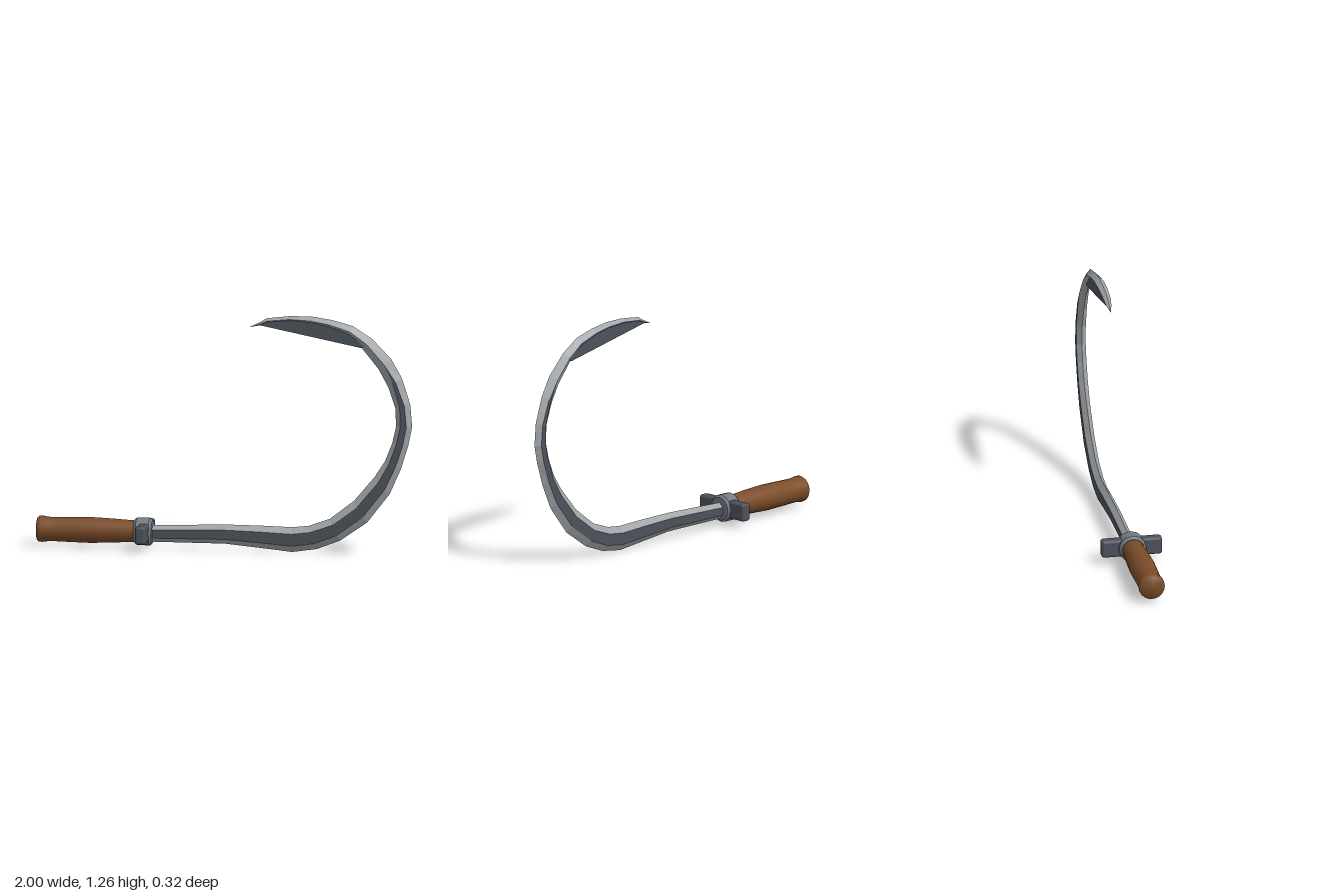
import * as THREE from 'three';
import { toCreasedNormals } from 'three/addons/utils/BufferGeometryUtils.js';
import { RoundedBoxGeometry } from 'three/addons/geometries/RoundedBoxGeometry.js';

const AXIS_Y = 0.097;

function material(name, color) {
  const m = new THREE.MeshStandardMaterial({ color });
  m.name = name;
  return m;
}

// Turned part lying along x; profile is a list of [x, radius]
function turned(name, profile, mat, sides, crease) {
  const points = profile.map(([x, r]) => new THREE.Vector2(r, x));
  const geo = toCreasedNormals(new THREE.LatheGeometry(points, sides), crease);
  geo.rotateZ(-Math.PI / 2);
  const mesh = new THREE.Mesh(geo, mat);
  mesh.name = name;
  mesh.position.y = AXIS_Y;
  return mesh;
}

// Blade stations: outer edge x, y, inner edge x, y, bevel share, half thickness
const STATIONS = [
  [-0.41, 0.043, -0.41, 0.13, 0.26, 0.025],
  [0, 0.043, 0, 0.145, 0.26, 0.025],
  [0.18, 0.026, 0.19, 0.144, 0.26, 0.025],
  [0.36, 0.008, 0.36, 0.14, 0.26, 0.025],
  [0.49, 0.027, 0.45, 0.15, 0.26, 0.025],
  [0.615, 0.075, 0.56, 0.19, 0.27, 0.025],
  [0.76, 0.176, 0.69, 0.29, 0.28, 0.025],
  [0.88, 0.33, 0.80, 0.42, 0.29, 0.025],
  [0.94, 0.465, 0.855, 0.505, 0.3, 0.025],
  [0.98, 0.593, 0.893, 0.6, 0.3, 0.025],
  [1.0, 0.69, 0.914, 0.69, 0.31, 0.025],
  [0.99, 0.81, 0.91, 0.79, 0.34, 0.025],
  [0.945, 0.95, 0.872, 0.9, 0.4, 0.025],
  [0.888, 1.05, 0.82, 0.995, 0.5, 0.025],
  [0.786, 1.155, 0.73, 1.105, 0.5, 0.025],
  [0.684, 1.22, 0.655, 1.165, 0.5, 0.025],
  [0.57, 1.25, 0.55, 1.205, 0.5, 0.025],
  [0.465, 1.265, 0.455, 1.225, 0.5, 0.025],
  [0.35, 1.265, 0.35, 1.235, 0.5, 0.024],
  [0.225, 1.25, 0.235, 1.225, 0.5, 0.02],
  [0.18, 1.225, 0.19, 1.212, 0.5, 0.014],
  [0.13, 1.2, 0.13, 1.2, 0.5, 0],
];

// Six-sided section: outer edge, front shoulders, inner edge, back shoulders
function section([ox, oy, ix, iy, f, t]) {
  const at = (s, z) => [ox + (ix - ox) * s, oy + (iy - oy) * s, z];
  return [at(0, 0), at(f, t), at(1 - f, t), at(1, 0), at(1 - f, -t), at(f, -t)];
}

// Skin the chosen sides of the section along the blade with flat facets
function bladeSkin(name, sides, mat) {
  const rings = STATIONS.map(section);
  const pos = [];
  for (let i = 0; i < rings.length - 1; i++) {
    for (const k of sides) {
      const n = (k + 1) % 6;
      const a = rings[i][k], b = rings[i + 1][k], c = rings[i + 1][n], d = rings[i][n];
      pos.push(...a, ...b, ...c, ...a, ...c, ...d);
    }
  }
  const geo = new THREE.BufferGeometry();
  geo.setAttribute('position', new THREE.Float32BufferAttribute(pos, 3));
  geo.computeVertexNormals();
  const mesh = new THREE.Mesh(geo, mat);
  mesh.name = name;
  return mesh;
}

export function createModel() {
  const group = new THREE.Group();
  group.name = 'hookedBlade';
  const wood = material('brown wood', 0x7a4c28);
  const steel = material('grey steel', 0x747a84);
  const dark = material('dark steel', 0x4c515a);
  const edge = material('bright edge steel', 0xa0a5a9);

  // Grip with flared pommel end
  group.add(turned('grip', [
    [-1, 0], [-1, 0.06], [-0.99, 0.069], [-0.975, 0.07], [-0.935, 0.064], [-0.86, 0.066],
    [-0.72, 0.069], [-0.6, 0.064], [-0.5, 0.058], [-0.46, 0.057],
  ], wood, 20, 0.9));

  // Collar with bevelled rims
  group.add(turned('collar', [
    [-0.482, 0], [-0.482, 0.062], [-0.468, 0.074], [-0.4, 0.074], [-0.386, 0.062], [-0.386, 0],
  ], steel, 12, 0.6));

  // Short crossguard running front to back
  const guard = new THREE.Mesh(new RoundedBoxGeometry(0.056, 0.095, 0.325, 2, 0.014), dark);
  guard.name = 'crossguard';
  guard.position.set(-0.426, AXIS_Y, 0);
  group.add(guard);

  // Curved blade: bright bevels and dark flats
  group.add(bladeSkin('bladeBevels', [0, 2, 3, 5], edge));
  group.add(bladeSkin('bladeFlats', [1, 4], dark));

  // Web filling the inside of the hook down to a straight cutting edge
  const arc = STATIONS.slice(14, 21).map(([ox, oy, ix, iy]) =>
    new THREE.Vector2(ix + (ox - ix) * 0.3, iy + (oy - iy) * 0.3));
  const web = new THREE.Shape([
    new THREE.Vector2(0.18, 1.215), new THREE.Vector2(0.735, 1.105), ...arc,
  ]);
  const webGeo = new THREE.ExtrudeGeometry(web, { depth: 0.024, bevelEnabled: false });
  webGeo.translate(0, 0, -0.012);
  const webMesh = new THREE.Mesh(webGeo, dark);
  webMesh.name = 'hookWeb';
  group.add(webMesh);

  return group;
}
